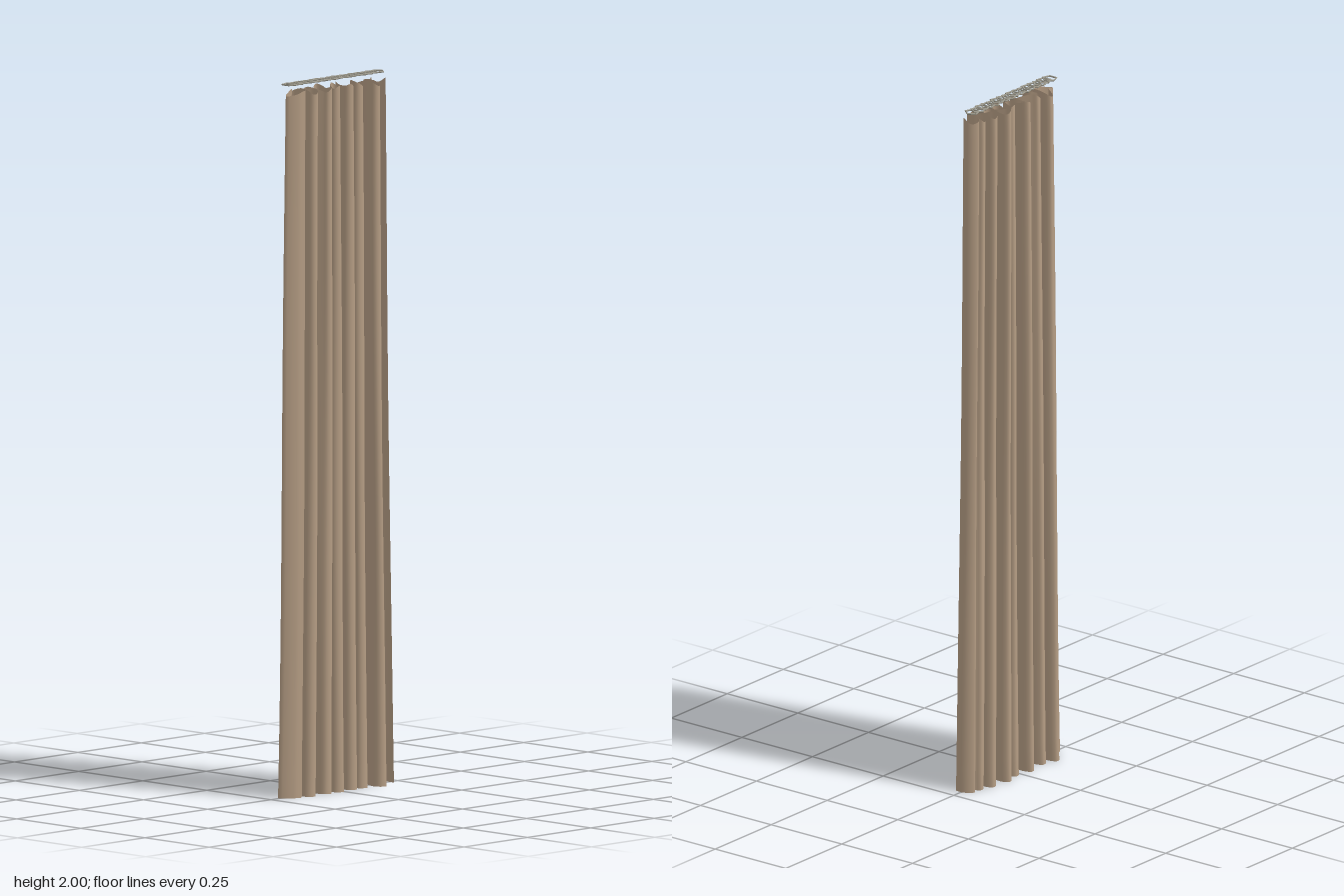
import * as THREE from 'three';

const HEIGHT = 1.98;

// Alternating pleat heads along the hem: [x, z of the head]
const PLEATS = [
  [-0.15, -0.054], [-0.128, 0.045], [-0.104, -0.042], [-0.06, 0.04],
  [-0.04, -0.052], [-0.012, 0.041], [0.017, -0.042], [0.045, 0.036],
  [0.064, -0.054], [0.088, 0.034], [0.124, -0.046], [0.145, 0.052],
  [0.165, -0.034],
];

// Floor plan of the cloth: a folded left edge, rounded pleats, a loose right edge
function clothPath(headWidth, xScale, zScale, wobble) {
  const pts = [[-0.163, 0.034], [-0.188, 0.027], [-0.218, -0.003], [-0.188, -0.02]];
  PLEATS.forEach(([x, z], i) => {
    const px = x + wobble * Math.sin(i * 2.3);
    const pz = z * (1 + wobble * 18 * Math.cos(i * 1.7));
    pts.push([px - headWidth, pz * 0.5], [px - headWidth * 0.5, pz * 0.92],
      [px + headWidth * 0.45, pz], [px + headWidth, pz * 0.5]);
  });
  pts.push([0.195, -0.032], [0.21, -0.02], [0.218, 0], [0.216, 0.019]);
  return new THREE.CatmullRomCurve3(
    pts.map(([x, z]) => new THREE.Vector3(x * xScale, 0, z * zScale)), false, 'centripetal');
}

// Cloth swept from the hem plan to the tighter gathered plan
function createCloth() {
  const hem = clothPath(0.018, 1, 1, 0);
  const gathered = clothPath(0.016, 0.865, 0.8, 0.006);
  const cols = 180, rows = 28;
  const geo = new THREE.PlaneGeometry(1, 1, cols, rows);
  const pos = geo.attributes.position;
  const a = new THREE.Vector3(), b = new THREE.Vector3();
  for (let i = 0; i < pos.count; i++) {
    const u = pos.getX(i) + 0.5, v = pos.getY(i) + 0.5;
    hem.getPoint(u, a);
    gathered.getPoint(u, b);
    a.lerp(b, Math.pow(v, 0.85));
    // Slight sway of the folds and a scalloped top edge
    a.x += 0.003 * Math.sin(v * Math.PI) * Math.sin(u * 40 + v * 4);
    const sag = 0.014 * Math.pow(v, 30) * Math.pow(Math.sin(u * Math.PI * 16), 2);
    pos.setXYZ(i, a.x, v * HEIGHT - sag, a.z);
  }
  geo.computeVertexNormals();
  const mesh = new THREE.Mesh(geo, new THREE.MeshStandardMaterial({
    color: 0xb59d84, side: THREE.DoubleSide,
  }));
  mesh.name = 'curtainCloth';
  return mesh;
}

// Row of overlapping five-sided hanging rings, lying flat
function createRings() {
  const rings = new THREE.Group();
  rings.name = 'curtainRings';
  const geo = new THREE.TorusGeometry(0.0205, 0.0025, 6, 5).rotateX(Math.PI / 2);
  const mat = new THREE.MeshStandardMaterial({ color: 0x9c998c, flatShading: true });
  const count = 16;
  for (let i = 0; i < count; i++) {
    const ring = new THREE.Mesh(geo, mat);
    ring.name = 'ring' + (i + 1);
    ring.position.set(-0.172 + (0.344 * i) / (count - 1),
      1.9975, 0.002 * Math.sin(i * 2.1) - 0.004);
    ring.rotation.y = 0.15 * Math.sin(i * 1.9);
    rings.add(ring);
  }
  return rings;
}

export function createModel() {
  const model = new THREE.Group();
  model.name = 'curtain';
  model.add(createCloth(), createRings());
  return model;
}
